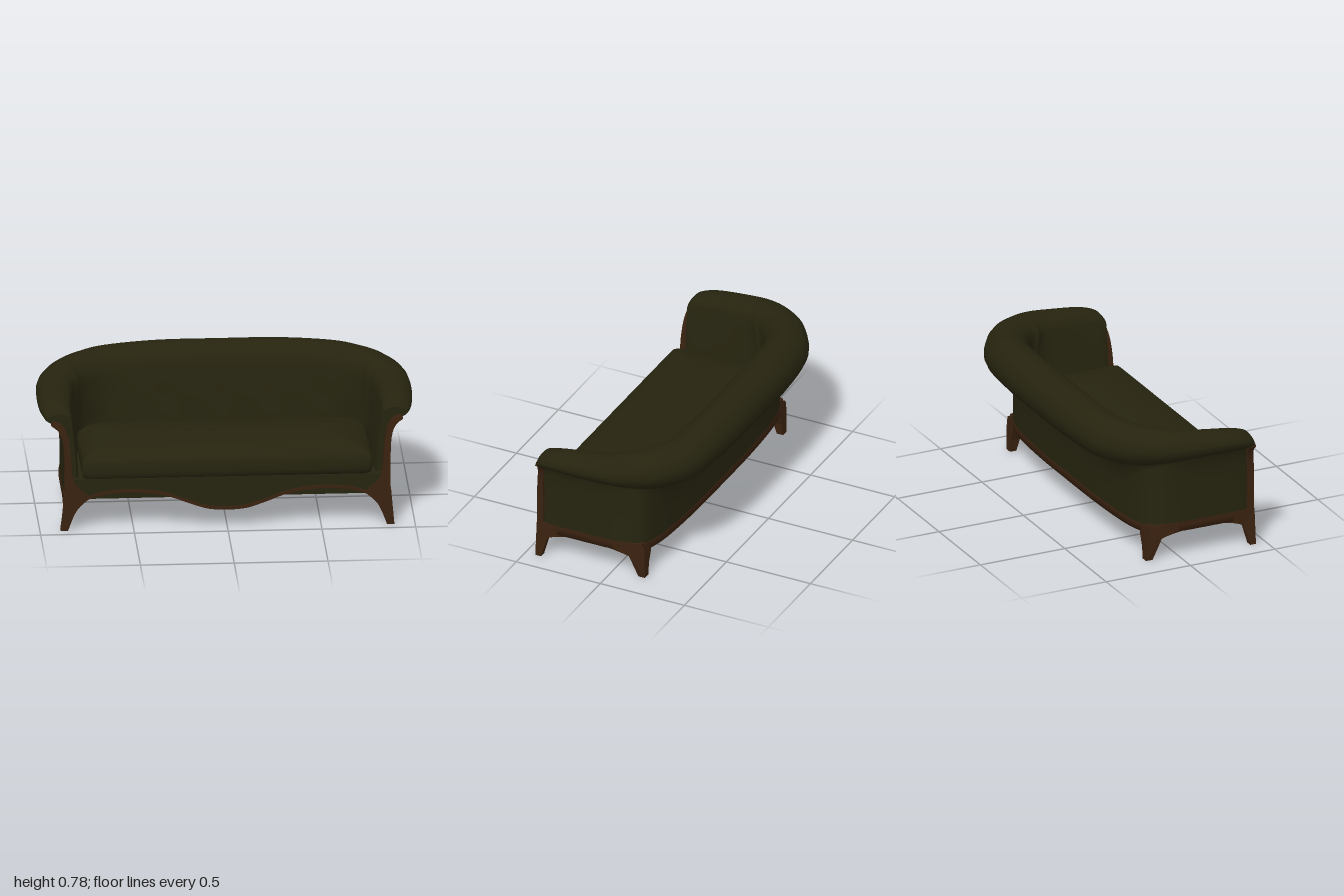
import * as THREE from 'three';

const mat = (name, color) => {
  const m = new THREE.MeshStandardMaterial({ color, side: THREE.DoubleSide });
  m.name = name;
  return m;
};

// Skin a surface over a list of cross-sections, each an array of [x, y, z]
function loft(rings, closed) {
  const n = rings[0].length, index = [];
  for (let i = 0; i < rings.length - 1; i++) {
    for (let j = 0; j < (closed ? n : n - 1); j++) {
      const k = (j + 1) % n;
      const a = i * n + j, b = a + n, c = i * n + k, d = c + n;
      index.push(a, b, c, b, d, c);
    }
  }
  const g = new THREE.BufferGeometry();
  g.setAttribute('position', new THREE.Float32BufferAttribute(rings.flat(2), 3));
  g.setIndex(index);
  g.computeVertexNormals();
  return g;
}

const shapeOf = (pts) => new THREE.Shape(pts.map(([x, y]) => new THREE.Vector2(x, y)));
const extrude = (pts, depth) => new THREE.ExtrudeGeometry(shapeOf(pts), { depth, bevelEnabled: false });

// Move every vertex by a rule
function bend(g, rule) {
  const p = g.attributes.position;
  for (let i = 0; i < p.count; i++) p.setXYZ(i, ...rule(p.getX(i), p.getY(i), p.getZ(i)));
  g.computeVertexNormals();
  return g;
}

// Smooth a line of points
const smooth = (pts, n) => new THREE.SplineCurve(pts.map(([x, y]) => new THREE.Vector2(x, y)))
  .getPoints(n).map((p) => [p.x, p.y]);

// Half the plan, arm front to back centre:
// inner x,z | outer base x,z | roll edge x,z | roll top, roll bottom, roll half width
const stations = [
  [.80, .40, .865, .40, .96, .40, .645, .585, .065],
  [.79, .37, .868, .37, .978, .37, .675, .583, .075],
  [.785, .28, .87, .28, .995, .28, .70, .585, .085],
  [.78, .12, .87, .12, 1.0, .12, .72, .583, .095],
  [.775, 0, .868, 0, .99, -.02, .737, .575, .10],
  [.755, -.07, .855, -.08, .955, -.14, .747, .563, .11],
  [.72, -.12, .82, -.155, .88, -.26, .755, .55, .118],
  [.66, -.15, .72, -.195, .77, -.35, .763, .54, .12],
  [.55, -.155, .58, -.215, .62, -.42, .772, .535, .122],
  [.30, -.16, .32, -.228, .33, -.452, .784, .535, .125],
  [0, -.16, 0, -.23, 0, -.455, .785, .535, .125],
];

export function createModel() {
  const fabric = mat('olive fabric', 0x26240f);
  const wood = mat('brown wood', 0x3a2210);
  const darkWood = mat('dark underside', 0x241408);
  const group = new THREE.Group();
  const add = (name, geometry, material) => {
    const m = new THREE.Mesh(geometry, material);
    m.name = name;
    group.add(m);
    return m;
  };

  // Full plan, left-right mirrored and smoothed
  const flip = (s) => s.map((v, i) => (i === 0 || i === 2 || i === 4 ? -v : v));
  const full = [...stations.map(flip), ...stations.slice(0, -1).reverse()];
  const curve = (a, b, c) => new THREE.CatmullRomCurve3(
    full.map((s) => new THREE.Vector3(s[a], s[b], s[c])), false, 'catmullrom', 0.5);
  const inner = curve(0, 1, 8), base = curve(2, 3, 6), edge = curve(4, 5, 7);
  const N = 100;

  // Back and arms: one wall with a rolled top, swept round the seat
  const sections = [], plan = [];
  for (let i = 0; i <= N; i++) {
    const I = inner.getPoint(i / N), B = base.getPoint(i / N), E = edge.getPoint(i / N);
    const rx = I.z, top = B.z, bot = E.z, mid = (top + bot) / 2, ry = (top - bot) / 2;
    const len = Math.hypot(E.x - B.x, E.y - B.y);
    const nx = (E.x - B.x) / len, nz = (E.y - B.y) / len;
    const cx = E.x - nx * rx, cz = E.y - nz * rx;
    const pts = [];
    for (let k = 0; k < 8; k++) {
      const t = k / 8, w = t * t * 0.6 + t * 0.4;
      // soft tufting across the inside of the back
      const tuft = I.y < -.1 ? .006 * Math.sin(t * Math.PI) * Math.cos(I.x * 24) * Math.cos(t * 9) : 0;
      pts.push([
        I.x + (cx - nx * rx - I.x) * w + nx * tuft,
        .24 + (mid - .24) * t,
        I.y + (cz - nz * rx - I.y) * w + nz * tuft,
      ]);
    }
    for (let k = 0; k <= 14; k++) {
      const a = Math.PI - (k / 14) * Math.PI * 1.5;
      pts.push([cx + nx * rx * Math.cos(a), mid + ry * Math.sin(a), cz + nz * rx * Math.cos(a)]);
    }
    for (const [f, y] of [[.45, bot - .03], [.2, bot - .08], [.07, bot - .14], [.02, .32], [0, .19]]) {
      pts.push([B.x + (cx - B.x) * f, y, B.y + (cz - B.y) * f]);
    }
    sections.push(pts);
    plan.push([B.x, B.y]);
  }
  add('backAndArms', loft(sections), fabric);

  // Flat ends of the arms
  for (const end of [sections[0], sections[N]]) {
    const cap = new THREE.ShapeGeometry(shapeOf(end));
    cap.translate(0, 0, .40);
    add('armFront', cap, fabric);
  }

  // Wooden rail under the wall
  add('baseRail', loft(plan.map(([x, z]) => [
    [x, .19, z], [x * 1.003, .185, z - .002], [x * 1.003, .148, z - .002], [x * .97, .148, z + .025], [x * .97, .18, z + .025],
  ])), wood);

  // Seat base and floor, cut to the plan
  const seatBase = extrude(plan.map(([x, z]) => [x * .985, -z - .008]), .112);
  seatBase.rotateX(-Math.PI / 2).translate(0, .166, 0);
  add('seatBase', seatBase, fabric);
  const floor = new THREE.ShapeGeometry(shapeOf(plan.map(([x, z]) => [x * .96, -Math.min(z + .03, .27)])));
  floor.rotateX(-Math.PI / 2).translate(0, .162, 0);
  add('underside', floor, darkWood);

  // Cushion: rounded plan rings that close into a soft crown
  const outline = [];
  [[1, 1, .03], [-1, 1, .03], [-1, -1, .13], [1, -1, .13]].forEach(([sx, sz, r], q) => {
    for (let k = 0; k <= 8; k++) {
      const a = (q + k / 8) * Math.PI / 2;
      outline.push([sx * (.775 - r) + r * Math.cos(a), sz * (.29 - r) + r * Math.sin(a)]);
    }
  });
  const cushionRings = [
    [.29, .28], [.03, .28], [.008, .292], [0, .32], [0, .365], [.008, .392],
    [.03, .412], [.08, .43], [.16, .446], [.23, .453], [.289, .455],
  ].map(([inset, y]) => outline.map(([x, z]) => [x * (1 - inset / .775), y, .16 + z * (1 - inset / .29)]));
  add('seatCushion', loft(cushionRings, true), fabric);

  // Serpentine lower edge of the front
  const lower = smooth([[0, .10], [.1, .108], [.2, .14], [.3, .178], [.4, .2], [.52, .21], [.65, .2], [.74, .175]], 28);
  const upper = lower.map(([x, y]) => [x, y + .018]).reverse();
  const leg = smooth([[.74, .175], [.79, .13], [.82, .08], [.85, 0]], 10).slice(1);
  const post = smooth([[.888, 0], [.868, .09], [.868, .2], [.87, .4], [.878, .5], [.9, .555], [.938, .585]], 20);
  const postInner = smooth([[.93, .607], [.885, .592], [.85, .53], [.835, .42], [.825, .3], [.80, .245], [.755, .208]], 18);

  for (const s of [1, -1]) {
    const side = s > 0 ? 'left' : 'right';
    const mirrored = (pts) => pts.map(([x, y]) => [s * x, y]);

    // Front frame: trim, leg and arm post in one curved piece
    const frame = extrude(mirrored([...lower, ...leg, ...post, ...postInner, ...upper]), .034);
    bend(frame, (x, y, z) => [x, y, z + .408 - .4 * Math.max(0, y - .35) ** 2]);
    add(side + 'FrontFrame', frame, wood);

    // Upholstered apron
    const apron = extrude(mirrored([...lower.map(([x, y]) => [x, y + .008]), [.83, .24], [.83, .285], [0, .285]]), .038);
    apron.translate(0, 0, .398);
    add(side + 'Apron', apron, fabric);

    // Side rail with an arched lower edge running into the front and rear legs
    const arch = smooth([[-.10, .12], [-.06, .135], [0, .147], [.11, .156], [.25, .149], [.32, .135], [.38, .112]], 18);
    const rail = extrude([[-.186, 0], [-.148, 0], ...arch, [.408, 0], [.442, 0], [.442, .2], [.2, .2], [0, .2], [-.1, .2], [-.165, .2]], .036);
    bend(rail, (z, y, d) => {
      const rear = z < 0 ? -.03 * Math.min(1, -z / .15) ** 2 : 0;
      const foot = z > .2 ? .018 * Math.max(0, 1 - y / .1) : 0;
      return [s * (.836 + d + rear + foot), y, z];
    });
    add(side + 'SideRail', rail, wood);

    // Rear corner leg
    const rings = [[0, .82, -.167, .019], [.07, .818, -.158, .027], [.13, .806, -.147, .038], [.19, .795, -.135, .046]]
      .map(([y, x, z, r]) => [[1, 1], [-1, 1], [-1, -1], [1, -1]].map(([a, b]) => [s * (x + a * r), y, z + b * r]));
    rings.unshift(rings[0].map(() => [s * .82, 0, -.167]));
    const legGeo = loft(rings, true).toNonIndexed();
    legGeo.computeVertexNormals();
    add(side + 'RearLeg', legGeo, wood);
  }
  return group;
}
